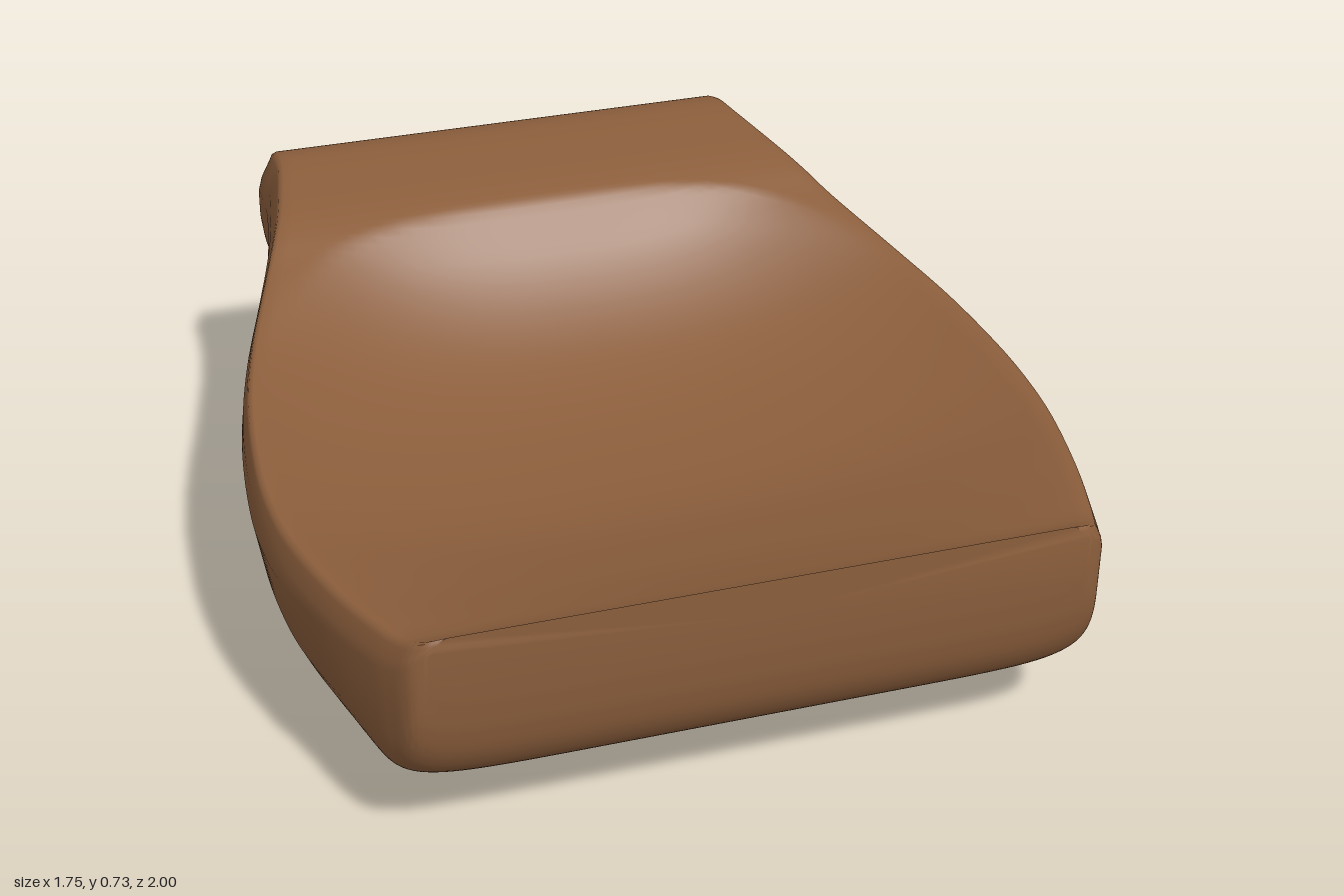
import * as THREE from 'three';
import { toCreasedNormals } from 'three/addons/utils/BufferGeometryUtils.js';

// Stations from back to front:
// z, half width, rim height, underside height, corner squareness, wall taper
const STATIONS = [
  [-1, 0.57, 0.588, 0.545, 8, 0],
  [-0.992, 0.578, 0.625, 0.508, 8, 0],
  [-0.97, 0.585, 0.67, 0.48, 8, 0],
  [-0.93, 0.59, 0.708, 0.463, 8, 0],
  [-0.87, 0.596, 0.73, 0.446, 7.5, 0],
  [-0.78, 0.604, 0.734, 0.42, 6.5, 0.02],
  [-0.6, 0.643, 0.714, 0.345, 5, 0.07],
  [-0.5, 0.674, 0.69, 0.29, 4.6, 0.1],
  [-0.4, 0.712, 0.653, 0.228, 4.4, 0.13],
  [-0.2, 0.785, 0.597, 0.12, 4.3, 0.18],
  [0, 0.838, 0.56, 0.047, 4.5, 0.21],
  [0.2, 0.868, 0.532, 0.012, 5.2, 0.235],
  [0.35, 0.875, 0.515, 0.001, 6, 0.24],
  [0.5, 0.863, 0.506, 0.018, 7, 0.21],
  [0.7, 0.822, 0.505, 0.08, 8.5, 0.13],
  [0.86, 0.775, 0.512, 0.14, 9, 0.04],
  [0.93, 0.75, 0.52, 0.182, 9, 0.02],
  [0.97, 0.732, 0.532, 0.24, 9, 0.01],
  [0.99, 0.712, 0.542, 0.31, 9, 0],
  [1, 0.68, 0.55, 0.39, 9, 0],
];

// Depth of the hollow along its centre line: z, depth
const HOLLOW = [
  [-0.51, 0], [-0.46, 0.04], [-0.4, 0.085], [-0.3, 0.13], [-0.1, 0.168],
  [0.1, 0.172], [0.4, 0.14], [0.7, 0.075], [0.9, 0.024], [1, 0],
];

const TOP = 48, LOWER = 28, STEPS = 6;
const { lerp, smoothstep } = THREE.MathUtils;

const stationAt = new THREE.CubicInterpolant(
  STATIONS.map((_, i) => i), STATIONS.flat(), 6, new Float32Array(6));
const depthAt = new THREE.CubicInterpolant(
  HOLLOW.map(p => p[0]), HOLLOW.map(p => p[1]), 1, new Float32Array(1));

function hollow(x, z, u) {
  // The hollow starts further forward towards the sides
  const shifted = z - 0.12 * Math.pow(Math.abs(x) / 0.6, 4) * smoothstep(-z, -0.4, 0.4);
  if (shifted <= -0.51 || shifted >= 1) return 0;
  return Math.max(0, depthAt.evaluate(shifted)[0]) * (1 - Math.pow(Math.abs(u), 2.4));
}

// One closed cross-section, counter-clockwise seen from the front
function section(t) {
  const [z, w, rim, under, power, taper] = stationAt.evaluate(t);
  const back = smoothstep(-z, 0, 0.9);
  const height = rim - under;
  const mid = under + height * lerp(0.8, 0.6, back);
  const inset = lerp(0.016, 0.03, back);
  const fillet = Math.min(0.015, height * 0.1);
  const topW = w - inset - fillet;
  const ring = [];

  // Hollowed top
  for (let i = 0; i <= TOP; i++) {
    const u = 1 - 2 * i / TOP;
    ring.push([u * topW, rim - hollow(u * topW, z, u), z]);
  }
  // One half of the wall and underside, then its mirror
  const wall = [
    [w - inset - fillet * 0.3, rim - fillet * 0.3],
    [w - inset, rim - fillet],
    [w - inset * 0.3, (rim - fillet) * 0.5 + mid * 0.5],
  ];
  for (let i = 0; i < LOWER; i++) {
    const a = i / LOWER * Math.PI / 2;
    const drop = Math.pow(Math.sin(a), 2 / power);
    const lean = 1 - taper * drop * drop;
    wall.push([w * lean * Math.pow(Math.cos(a), 2 / power), mid - (mid - under) * drop]);
  }
  wall.forEach(([x, y]) => ring.push([-x, y, z]));
  ring.push([0, under, z]);
  wall.reverse().forEach(([x, y]) => ring.push([x, y, z]));
  return ring;
}

// Skin the sections and close both ends
function seatGeometry() {
  const rings = [];
  const last = (STATIONS.length - 1) * STEPS;
  for (let i = 0; i <= last; i++) rings.push(section(i / STEPS));
  const n = rings[0].length;
  const index = [];
  for (let i = 0; i < last; i++) {
    for (let j = 0; j < n; j++) {
      const k = (j + 1) % n;
      const a = i * n + j, b = i * n + k, c = b + n, d = a + n;
      index.push(a, b, d, b, c, d);
    }
  }
  const points = rings.flat();
  const addCap = (i, front) => {
    const ring = rings[i];
    const ys = ring.map(p => p[1]);
    const centre = points.push([0, (Math.min(...ys) + Math.max(...ys)) / 2, ring[0][2]]) - 1;
    for (let j = 0; j < n; j++) {
      const a = i * n + j, b = i * n + (j + 1) % n;
      if (front) index.push(centre, a, b);
      else index.push(centre, b, a);
    }
  };
  addCap(0, false);
  addCap(last, true);

  const geometry = new THREE.BufferGeometry();
  geometry.setAttribute('position', new THREE.Float32BufferAttribute(points.flat(), 3));
  geometry.setIndex(index);
  return toCreasedNormals(geometry, 1);
}

export function createModel() {
  const leather = new THREE.MeshStandardMaterial({ color: 0x8b5e3c });
  leather.name = 'brown leather';
  const seat = new THREE.Mesh(seatGeometry(), leather);
  seat.name = 'seatCushion';
  const model = new THREE.Group();
  model.name = 'contouredSeat';
  model.add(seat);
  return model;
}
